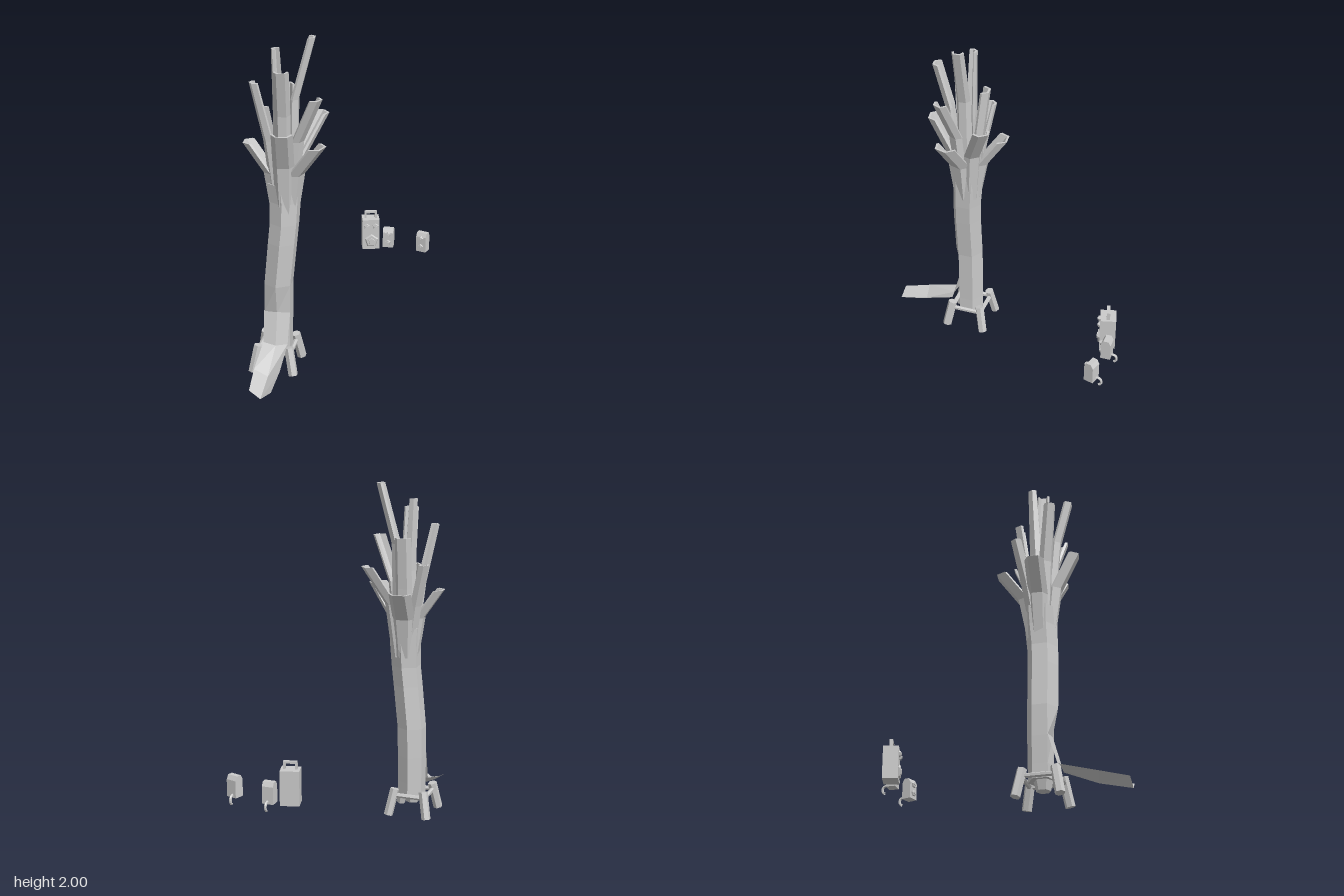
import * as THREE from 'three';

const MAT = new THREE.MeshStandardMaterial({ color: 0xcccccc, flatShading: true, side: THREE.DoubleSide });

function add(parent, geo, name, pos = [0, 0, 0], rot = [0, 0, 0]) {
  const m = new THREE.Mesh(geo, MAT);
  m.name = name;
  m.position.set(...pos);
  m.rotation.set(...rot);
  parent.add(m);
  return m;
}

// Skin between cross-sections of equal length
function loft(rings, { closed = true, cap = null } = {}) {
  const n = rings[0].length, pos = rings.flat(2), idx = [];
  for (let i = 0; i < rings.length - 1; i++) {
    for (let j = 0; j < (closed ? n : n - 1); j++) {
      const k = (j + 1) % n, a = i * n, b = a + n;
      idx.push(a + j, a + k, b + k, a + j, b + k, b + j);
    }
  }
  const top = (rings.length - 1) * n;
  if (cap === 'fan') {
    for (let j = 1; j < n - 1; j++) idx.push(top, top + j, top + j + 1, 0, j + 1, j);
  }
  if (cap === 'rim') {
    for (let j = 0; j < n / 2 - 1; j++) {
      const p = top + j, q = top + n - 1 - j;
      idx.push(p, p + 1, q - 1, p, q - 1, q);
    }
  }
  const g = new THREE.BufferGeometry();
  g.setAttribute('position', new THREE.Float32BufferAttribute(pos, 3));
  g.setIndex(idx);
  const flat = g.toNonIndexed();
  flat.computeVertexNormals();
  return flat;
}

// Straight bar between two points
function bar(parent, a, b, r, name) {
  const p = new THREE.Vector3(...a), q = new THREE.Vector3(...b), d = q.clone().sub(p);
  const m = add(parent, new THREE.CylinderGeometry(r, r, d.length(), 6), name);
  m.position.copy(p).add(q).multiplyScalar(0.5);
  m.quaternion.setFromUnitVectors(new THREE.Vector3(0, 1, 0), d.normalize());
}

// Hexagonal stalk, slightly bent, flattened in front where a layer is peeled off
function stalk(parent) {
  const rows = [ // y, centre x, centre z, radius, front corner z
    [0.12, -0.28, 0.3, 0.085, 0.365], [0.2, -0.28, 0.3, 0.085, 0.36], [0.36, -0.279, 0.3, 0.087, 0.352],
    [0.54, -0.276, 0.3, 0.087], [0.8, -0.25, 0.3, 0.088], [0.92, -0.238, 0.296, 0.088],
    [1.05, -0.235, 0.288, 0.093], [1.16, -0.236, 0.287, 0.1],
  ];
  const rings = rows.map(([y, cx, cz, r, front]) => Array.from({ length: 6 }, (_, j) => {
    const a = j * Math.PI / 3;
    return [cx + r * Math.sin(a), y, j === 0 && front ? front : cz + r * Math.cos(a)];
  }));
  add(parent, loft(rings, { cap: 'fan' }), 'stalk');
  add(parent, new THREE.CylinderGeometry(0.055, 0.04, 0.06, 6), 'rootStub', [-0.285, 0.095, 0.302]);
}

// Outer layer folded down to the front
function peeledLayer(parent) {
  const rows = [ // half width, edge y, edge z, fold y, fold z
    [0.077, 0.37, 0.343, 0.37, 0.354], [0.072, 0.19, 0.395, 0.18, 0.407],
    [0.075, 0.13, 0.61, 0.085, 0.6], [0.063, 0.088, 0.775, 0.042, 0.78],
  ];
  const rings = rows.map(([w, ey, ez, fy, fz]) => [[-0.28 - w, ey, ez], [-0.277, fy, fz], [-0.28 + w, ey, ez]]);
  add(parent, loft(rings.reverse(), { closed: false }), 'peeledLayer');
}

// Channel-shaped leaf with a horizontally cut tip
function leaf(parent, [x, y, z, w, kneeY, kneeR, baseY, baseR, baseW]) {
  const cx = -0.236, cz = 0.288;
  const tipR = Math.hypot(x - cx, z - cz), o = [(x - cx) / tipR, (z - cz) / tipR], s = [o[1], -o[0]];
  const t = 0.012;
  const rows = [[baseY, baseR, baseW], [kneeY, kneeR, Math.max(w, baseW)], [y, tipR, w]];
  const rings = rows.map(([h, r, hw]) => {
    const side = [-1, -0.55, 0.55, 1], depth = [0.75 * hw, 0, 0, 0.75 * hw];
    const at = (u, v) => [cx + o[0] * v + s[0] * u, h, cz + o[1] * v + s[1] * u];
    const outer = side.map((k, i) => at(k * hw, r - depth[i]));
    const inner = side.map((k, i) => at(k * (hw - t * 0.8), r - depth[i] - t)).reverse();
    return [...outer, ...inner];
  });
  add(parent, loft(rings, { cap: 'rim' }), 'leaf');
}

// Four splayed legs joined by rails
function stand(parent) {
  const c = [-0.292, 0.3], corners = [[-1, -1], [1, -1], [1, 1], [-1, 1]];
  const at = (k, r, y) => [c[0] + k[0] * r, y, c[1] + k[1] * r];
  corners.forEach((k, i) => {
    bar(parent, at(k, 0.12, 0.004), at(k, 0.09, 0.165), 0.028, 'leg');
    bar(parent, at(k, 0.095, 0.125), at(corners[(i + 1) % 4], 0.095, 0.125), 0.014, 'rail');
  });
}

// Five-sided knob facing +z, with a raised centre
function knob(parent, x, y, z, r) {
  const turn = [Math.PI / 2, Math.PI, 0];
  add(parent, new THREE.CylinderGeometry(r * 0.8, r, 0.012, 5), 'knobRing', [x, y, z + 0.004], turn);
  add(parent, new THREE.CylinderGeometry(r * 0.4, r * 0.5, 0.012, 5), 'knobCentre', [x, y, z + 0.01], turn);
}

// Large box with carrying handle
function largeBox(parent) {
  const g = new THREE.Group();
  g.name = 'largeBox';
  g.position.set(0.087, 0.35, -0.697);
  g.rotation.y = 0.26;
  add(g, new THREE.BoxGeometry(0.108, 0.2, 0.092), 'boxBody', [0, 0.1, 0]);
  for (const s of [-1, 1]) {
    add(g, new THREE.BoxGeometry(0.012, 0.045, 0.02), 'handlePost', [s * 0.033, 0.222, 0]);
    knob(g, s * 0.028, 0.157, 0.046, 0.021);
  }
  add(g, new THREE.BoxGeometry(0.078, 0.013, 0.02), 'handleBar', [0, 0.239, 0]);
  knob(g, 0.003, 0.058, 0.046, 0.047);
  parent.add(g);
}

// Small box with chamfered top and a hook behind
function smallBox(parent, x, z, yaw) {
  const g = new THREE.Group();
  g.name = 'smallBox';
  g.position.set(x, 0.35, z);
  const body = new THREE.Group();
  body.name = 'smallBoxBody';
  body.rotation.y = yaw;
  const d = 0.029, profile = new THREE.Shape([[-d, 0], [d, 0], [d, 0.1], [d - 0.014, 0.125], [-d + 0.014, 0.125], [-d, 0.1]]
    .map(p => new THREE.Vector2(...p)));
  const geo = new THREE.ExtrudeGeometry(profile, { depth: 0.066, bevelEnabled: false });
  geo.translate(0, 0, -0.033).rotateY(-Math.PI / 2);
  add(body, geo, 'boxBody');
  for (const y of [0.034, 0.088]) knob(body, 0, y, d, 0.02);
  g.add(body);
  const path = new THREE.CatmullRomCurve3([[0, 0.015, -0.02], [0, 0.014, -0.045], [0, 0.003, -0.058],
    [0, -0.022, -0.058], [0, -0.032, -0.045]].map(p => new THREE.Vector3(...p)));
  add(g, new THREE.TubeGeometry(path, 8, 0.008, 5), 'hook');
  parent.add(g);
}

export function createModel() {
  const model = new THREE.Group();
  const plant = new THREE.Group();
  plant.name = 'plant';
  stalk(plant);
  peeledLayer(plant);

  // Tip x, y, z, half width, knee y, knee radius
  const outer = [
    [-0.463, 1.39, 0.3, 0.055, 1.22, 0.112], [0.0, 1.4, 0.365, 0.068, 1.22, 0.112],
    [-0.268, 1.39, 0.045, 0.066, 1.22, 0.122], [-0.2, 1.5, 0.508, 0.06, 1.28, 0.118],
    [-0.03, 1.53, 0.11, 0.052, 1.3, 0.122],
  ];
  outer.forEach(l => leaf(plant, [...l, 0.98, 0.076, 0.046]));
  const inner = [
    [-0.395, 1.76, 0.395, 0.034, 1.42, 0.115], [-0.395, 1.55, 0.17, 0.036, 1.3, 0.125],
    [-0.012, 1.68, 0.385, 0.045, 1.42, 0.12], [-0.207, 1.845, 0.475, 0.043, 1.58, 0.12],
    [-0.25, 1.7, 0.15, 0.048, 1.4, 0.1], [-0.058, 2.0, 0.275, 0.036, 1.65, 0.085],
    [-0.3, 1.92, 0.25, 0.028, 1.5, 0.06],
  ];
  inner.forEach(l => leaf(plant, [...l, 1.05, 0.07, 0.04]));
  model.add(plant);

  const base = new THREE.Group();
  base.name = 'stand';
  stand(base);
  model.add(base);

  largeBox(model);
  smallBox(model, 0.2, -0.727, 0);
  smallBox(model, 0.424, -0.7, -0.3);
  return model;
}
